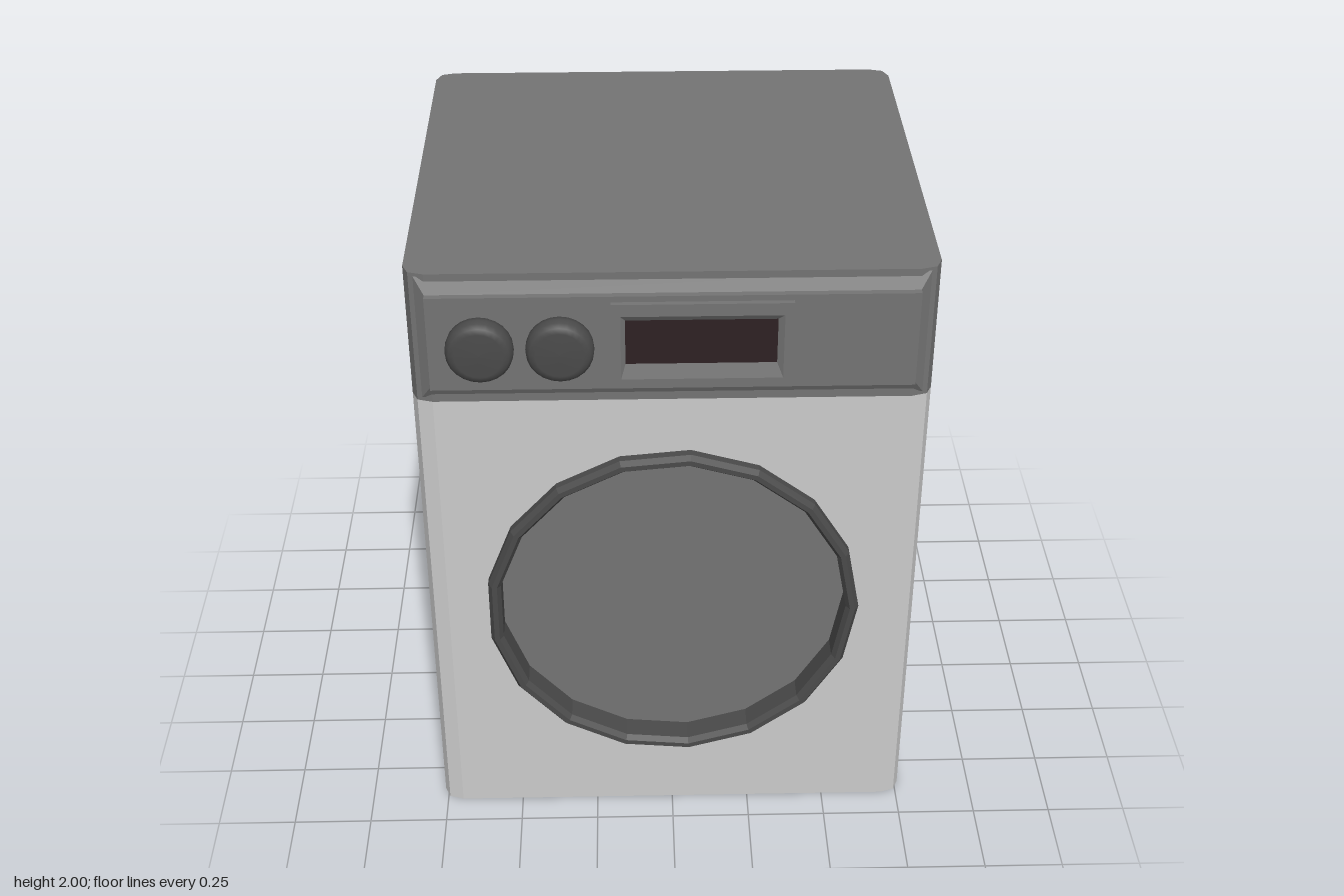
import * as THREE from 'three';

const mat = (color, flatShading = true) =>
  new THREE.MeshStandardMaterial({ color, flatShading, side: THREE.DoubleSide });

// Skin a series of equal-length loops of [x, y, z] points
function loft(loops, closed = true) {
  const n = loops[0].length;
  const index = [];
  for (let k = 0; k < loops.length - 1; k++) {
    for (let i = 0; i < (closed ? n : n - 1); i++) {
      const a = k * n + i, b = k * n + (i + 1) % n;
      index.push(a, b, b + n, a, b + n, a + n);
    }
  }
  const geo = new THREE.BufferGeometry();
  geo.setAttribute('position', new THREE.Float32BufferAttribute(loops.flat(2), 3));
  geo.setIndex(index);
  geo.computeVertexNormals();
  return geo;
}

const rect = (x0, x1, y0, y1, z) => [[x0, y0, z], [x1, y0, z], [x1, y1, z], [x0, y1, z]];

// Solid of revolution around the z axis from [radius, z] points
function turned(profile, sides) {
  const pts = profile.map(([r, z]) => new THREE.Vector2(r, z));
  return new THREE.LatheGeometry(pts, sides, Math.PI / 2).rotateX(Math.PI / 2);
}

export function createModel() {
  const model = new THREE.Group();
  const light = mat(0xcccccc), dark = mat(0x747474), trim = mat(0x4a4a4a);
  const knobMat = mat(0x4a4a4a, false), screenMat = mat(0x2e2123);
  const add = (name, geo, material, parent = model) => {
    const mesh = new THREE.Mesh(geo, material);
    mesh.name = name;
    parent.add(mesh);
    return mesh;
  };

  const BAND = 1.578, TOP = 2, FRONT = 0.652, SIDES = 17, DOOR_Y = 0.82;

  // Cabinet plan: one half with softened corners, then mirrored
  const half = [[0.7, FRONT], [0.745, 0.638], [0.762, 0.6], [0.762, -0.7], [0.745, -0.742], [0.7, -0.755]];
  const plan = [...half, ...half.map(([x, z]) => [-x, z]).reverse()];
  const planAt = y => plan.map(([x, z]) => [x, y, z]);

  // Lower cabinet, open underneath, with a door opening in the front
  add('cabinetWalls', loft([planAt(0), planAt(BAND)], false), light);
  const front = new THREE.Shape([[-0.7, 0], [0.7, 0], [0.7, BAND], [-0.7, BAND]].map(p => new THREE.Vector2(...p)));
  const hole = [];
  for (let i = 0; i < SIDES; i++) {
    const a = -i / SIDES * Math.PI * 2;
    hole.push(new THREE.Vector2(0.565 * Math.cos(a), DOOR_Y + 0.565 * Math.sin(a)));
  }
  front.holes.push(new THREE.Path(hole));
  add('cabinetFront', new THREE.ShapeGeometry(front).translate(0, 0, FRONT), light);

  // Dark upper band and lid
  add('upperBand', loft([planAt(BAND), planAt(TOP)]), dark);
  const lid = new THREE.Shape(plan.map(([x, z]) => new THREE.Vector2(x, -z)));
  add('lid', new THREE.ShapeGeometry(lid).rotateX(-Math.PI / 2).translate(0, TOP, 0), dark);

  // Round door: raised ring with a recessed disc
  const door = new THREE.Group();
  door.name = 'door';
  door.position.y = DOOR_Y;
  model.add(door);
  add('doorRing', turned([[0.57, 0.6], [0.58, 0.64], [0.58, 0.678], [0.568, 0.695],
    [0.552, 0.695], [0.54, 0.678], [0.54, 0.6], [0.57, 0.6]], SIDES), trim, door);
  add('doorDisc', new THREE.CircleGeometry(0.555, SIDES).translate(0, 0, 0.605), dark, door);

  // Control panel: sloped base with a raised plate
  add('controlPanel', loft([
    rect(-0.73, 0.73, 1.59, 1.99, 0.645),
    rect(-0.7, 0.7, 1.64, 1.943, 0.67),
    rect(-0.7, 0.7, 1.64, 1.943, 0.69),
  ]), dark);
  add('controlPlate', new THREE.PlaneGeometry(1.4, 0.303).translate(0, 1.7915, 0.69), dark);

  // Display frame sloping inwards to the screen
  add('displayFrame', loft([
    rect(-0.177, 0.341, 1.65, 1.925, 0.69),
    rect(-0.177, 0.341, 1.65, 1.925, 0.706),
    rect(-0.15, 0.315, 1.68, 1.886, 0.706),
    rect(-0.137, 0.297, 1.725, 1.868, 0.694),
  ]), dark);
  add('displayScreen', new THREE.PlaneGeometry(0.434, 0.143).translate(0.08, 1.7965, 0.694), screenMat);

  // Two dials
  const dial = turned([[0.085, 0.688], [0.096, 0.698], [0.098, 0.715], [0.096, 0.735],
    [0.086, 0.748], [0.07, 0.753], [0, 0.755]], 24);
  for (const [name, x] of [['rightDial', -0.55], ['leftDial', -0.322]]) {
    add(name, dial, knobMat).position.set(x, 1.79, 0);
  }
  return model;
}
